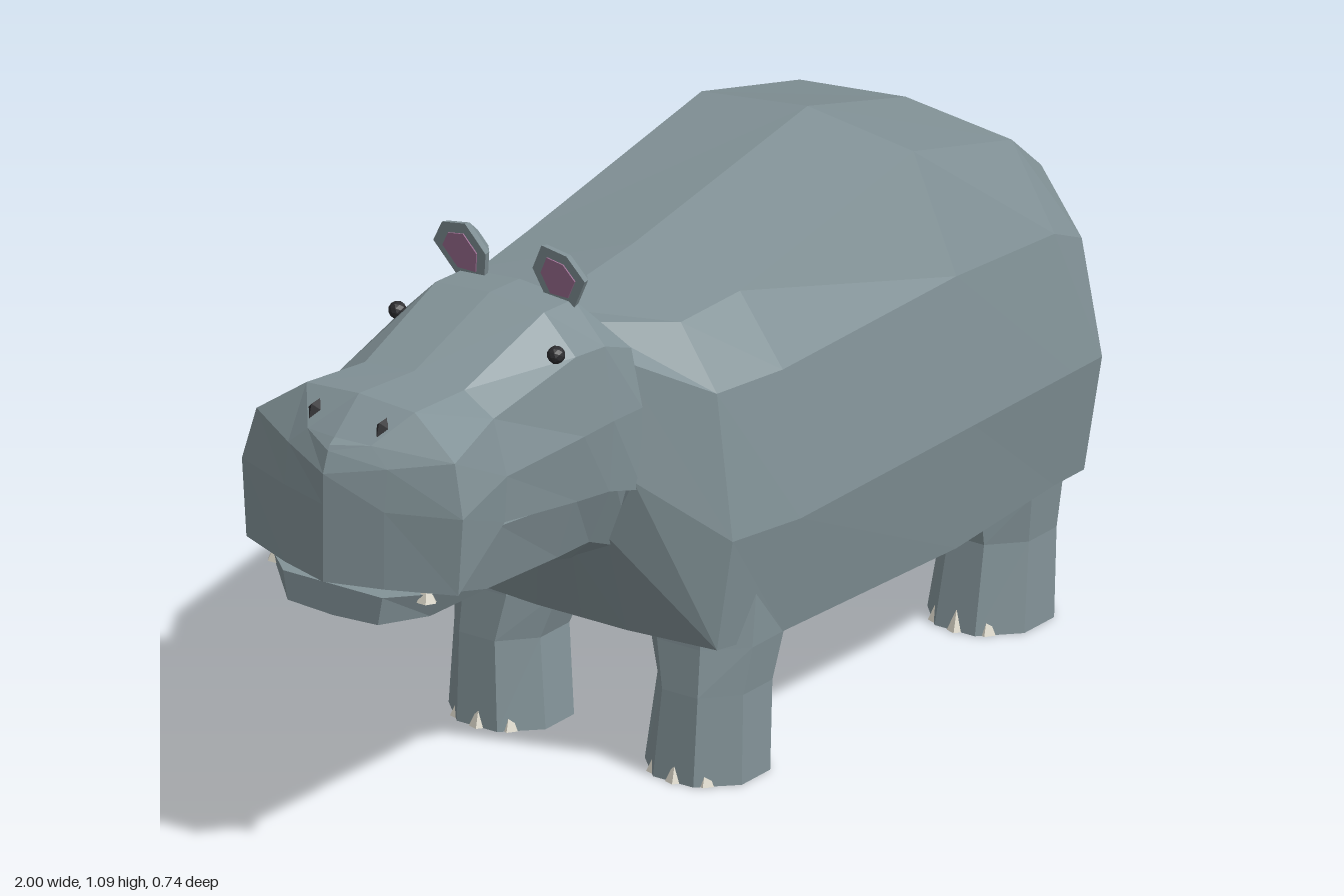
import * as THREE from 'three';

const paint = (color) => new THREE.MeshStandardMaterial({ color, flatShading: true });
const skin = paint(0x829297), dark = paint(0x2b2b2e), pink = paint(0x9c6f92), ivory = paint(0xd8d4c6);

// Skin over closed rings of [x, y, z] points, with a fan closing each end
function loft(rings) {
  const pos = [];
  const tri = (a, b, c) => {
    const t = new THREE.Triangle(...[a, b, c].map((p) => new THREE.Vector3(...p)));
    if (t.getArea() > 1e-7) pos.push(...a, ...b, ...c);
  };
  const n = rings[0].length;
  for (let i = 0; i < rings.length - 1; i++) {
    for (let j = 0; j < n; j++) {
      const k = (j + 1) % n, [r, s] = [rings[i], rings[i + 1]];
      tri(r[j], r[k], s[k]);
      tri(r[j], s[k], s[j]);
    }
  }
  const mid = (r) => [0, 1, 2].map((a) => r.reduce((t, p) => t + p[a], 0) / n);
  const first = rings[0], last = rings[rings.length - 1], c0 = mid(first), c1 = mid(last);
  for (let j = 0; j < n; j++) {
    const k = (j + 1) % n;
    tri(c0, first[k], first[j]);
    tri(c1, last[j], last[k]);
  }
  const g = new THREE.BufferGeometry();
  g.setAttribute('position', new THREE.Float32BufferAttribute(pos, 3));
  g.computeVertexNormals();
  return g;
}

// Mirrored ring from a half profile of [y, z, x?] running top centre to bottom centre
function ring(x, ...half) {
  const side = half.map(([y, z, px = x]) => [px, y, z]);
  const other = side.slice(1, -1).reverse().map(([px, y, z]) => [px, y, -z]);
  return [...side, ...other];
}

export function createModel() {
  const model = new THREE.Group();
  const add = (name, geometry, material = skin) => {
    const mesh = new THREE.Mesh(geometry, material);
    mesh.name = name;
    model.add(mesh);
    return mesh;
  };

  // Barrel body, chest to rounded rump
  add('body', loft([
    ring(-0.34, [0.91, 0], [0.905, 0.1], [0.85, 0.18], [0.62, 0.21], [0.5, 0.15], [0.46, 0.07], [0.455, 0]),
    ring(-0.21, [0.92, 0], [0.89, 0.22], [0.77, 0.3], [0.49, 0.335], [0.27, 0.3], [0.26, 0.1], [0.26, 0]),
    ring(-0.05, [0.935, 0], [0.9, 0.235], [0.77, 0.33], [0.49, 0.37], [0.26, 0.33], [0.255, 0.1], [0.255, 0]),
    ring(0.48, [1.02, 0], [0.99, 0.235], [0.77, 0.33], [0.49, 0.37], [0.24, 0.33], [0.215, 0.1], [0.215, 0]),
    ring(0.78, [0.935, 0], [0.91, 0.235], [0.75, 0.33], [0.49, 0.37], [0.26, 0.33], [0.245, 0.1], [0.245, 0]),
    ring(0.87, [0.87, 0], [0.83, 0.235], [0.71, 0.325], [0.49, 0.37], [0.26, 0.33], [0.26, 0.1], [0.25, 0]),
    ring(0.9, [0.865, 0, 0.885], [0.84, 0.13, 0.89], [0.69, 0.22, 0.925], [0.5, 0.23, 0.945],
      [0.27, 0.16, 0.89], [0.26, 0.08, 0.885], [0.25, 0, 0.88]),
    ring(0.95, [0.865, 0, 0.885], [0.85, 0, 0.9], [0.69, 0, 0.945], [0.5, 0, 0.97],
      [0.27, 0, 0.89], [0.26, 0, 0.885], [0.25, 0, 0.88]),
  ]));

  // Upper head: wedge muzzle, dipped bridge, brow and neck
  add('head', loft([
    ring(-1, [0.86, 0, -0.98], [0.85, 0, -0.985], [0.81, 0], [0.75, 0], [0.6, 0], [0.6, 0]),
    ring(-0.965, [0.87, 0, -0.965], [0.865, 0.07, -0.95], [0.83, 0.11, -0.955], [0.75, 0.11], [0.6, 0.11], [0.6, 0]),
    ring(-0.91, [0.93, 0, -0.89], [0.92, 0.12, -0.885], [0.85, 0.22, -0.9], [0.75, 0.245], [0.6, 0.235], [0.6, 0]),
    ring(-0.72, [0.915, 0], [0.905, 0.11], [0.865, 0.175], [0.76, 0.205], [0.67, 0.2], [0.66, 0]),
    ring(-0.49, [0.99, 0], [0.98, 0.12], [0.91, 0.19], [0.76, 0.21], [0.63, 0.195], [0.62, 0]),
    ring(-0.4, [0.985, 0], [0.975, 0.12], [0.9, 0.19], [0.76, 0.21], [0.62, 0.2], [0.61, 0]),
    ring(-0.32, [0.91, 0], [0.905, 0.11], [0.87, 0.19], [0.76, 0.215], [0.6, 0.215], [0.59, 0]),
  ]));

  // Lower jaw and throat
  add('lowerJaw', loft([
    ring(-0.97, [0.585, 0], [0.585, 0.11], [0.53, 0.1], [0.525, 0]),
    ring(-0.9, [0.59, 0], [0.59, 0.19], [0.54, 0.165], [0.52, 0]),
    ring(-0.72, [0.66, 0], [0.66, 0.19], [0.53, 0.16], [0.51, 0]),
    ring(-0.49, [0.635, 0], [0.635, 0.19], [0.51, 0.15], [0.485, 0]),
    ring(-0.38, [0.635, 0], [0.635, 0.197], [0.5, 0.14], [0.47, 0]),
    ring(-0.28, [0.64, 0], [0.63, 0.21], [0.46, 0.16], [0.38, 0]),
  ]));

  // Flat tail hanging over the rump: [outer x, outer y, half width]
  const tail = [[0.86, 0.87, 0.05], [0.9, 0.85, 0.05], [1, 0.57, 0.05], [1, 0.525, 0.035]];
  add('tail', loft(tail.reverse().map(([x, y, w]) => [
    [x - 0.035, y - 0.012, w], [x, y, w * 0.8], [x, y, -w * 0.8], [x - 0.035, y - 0.012, -w],
  ])));

  // Pieces mirrored left and right
  for (const s of [1, -1]) {
    const side = s > 0 ? 'left' : 'right';

    // Legs: eight-sided columns as [y, x min, x max, z min, z max]
    const legs = {
      FrontLeg: [[0, -0.23, -0.02, 0.11, 0.325], [0.17, -0.22, -0.005, 0.13, 0.32],
        [0.26, -0.21, 0.02, 0.1, 0.33], [0.4, -0.2, 0.05, 0.1, 0.33]],
      HindLeg: [[0, 0.63, 0.85, 0.11, 0.325], [0.17, 0.655, 0.86, 0.13, 0.32],
        [0.26, 0.645, 0.87, 0.1, 0.33], [0.4, 0.6, 0.87, 0.1, 0.34]],
    };
    for (const [name, rows] of Object.entries(legs)) {
      add(side + name, loft(rows.map(([y, x0, x1, z0, z1]) => Array.from({ length: 8 }, (_, j) => {
        const a = (j + 0.5) * Math.PI / 4, k = 0.5 / Math.cos(Math.PI / 8);
        return [(x0 + x1) / 2 + Math.sin(a) * k * (x1 - x0), y,
          s * (z0 + z1) / 2 + Math.cos(a) * k * (z1 - z0)];
      }))));
      // Toenails along the front of the foot
      for (const t of [-1, 0, 1]) {
        const nail = add(side + name + 'Nail', new THREE.ConeGeometry(0.018, 0.04, 5), ivory);
        nail.position.set(rows[0][1] + 0.006 + Math.abs(t) * 0.018, 0.02, s * 0.2175 + t * 0.055);
      }
    }

    // Ear: forward-leaning cup with a pink lining
    const rim = [[1.088, 0.085], [1.078, 0.138], [1.03, 0.168], [0.965, 0.13], [0.965, 0.07], [1.03, 0.052]];
    const earRing = (scale, dx) => {
      const pts = rim.map(([y, z]) => {
        const py = 1.02 + (y - 1.02) * scale;
        return [-0.41 - (py - 0.96) * 0.31 + dx, py, s * (0.107 + (z - 0.107) * scale)];
      });
      return s > 0 ? pts : pts.reverse();
    };
    add(side + 'Ear', loft([earRing(1, 0), earRing(0.95, 0.015), earRing(0.5, 0.045)]));
    add(side + 'EarLining', loft([earRing(0.65, -0.003), earRing(0.65, 0.004)]), pink);

    // Eye, nostril and lower tusk
    const eye = add(side + 'Eye', new THREE.IcosahedronGeometry(0.017, 1), dark);
    eye.position.set(-0.53, 0.925, s * 0.176);
    const nostril = add(side + 'Nostril', new THREE.OctahedronGeometry(0.022), dark);
    nostril.scale.set(1, 0.7, 0.6);
    nostril.rotation.z = 0.7;
    nostril.position.set(-0.922, 0.893, s * 0.075);
    const tusk = add(side + 'Tusk', new THREE.ConeGeometry(0.02, 0.045, 6), ivory);
    tusk.position.set(-0.91, 0.595, s * 0.165);
  }
  return model;
}
